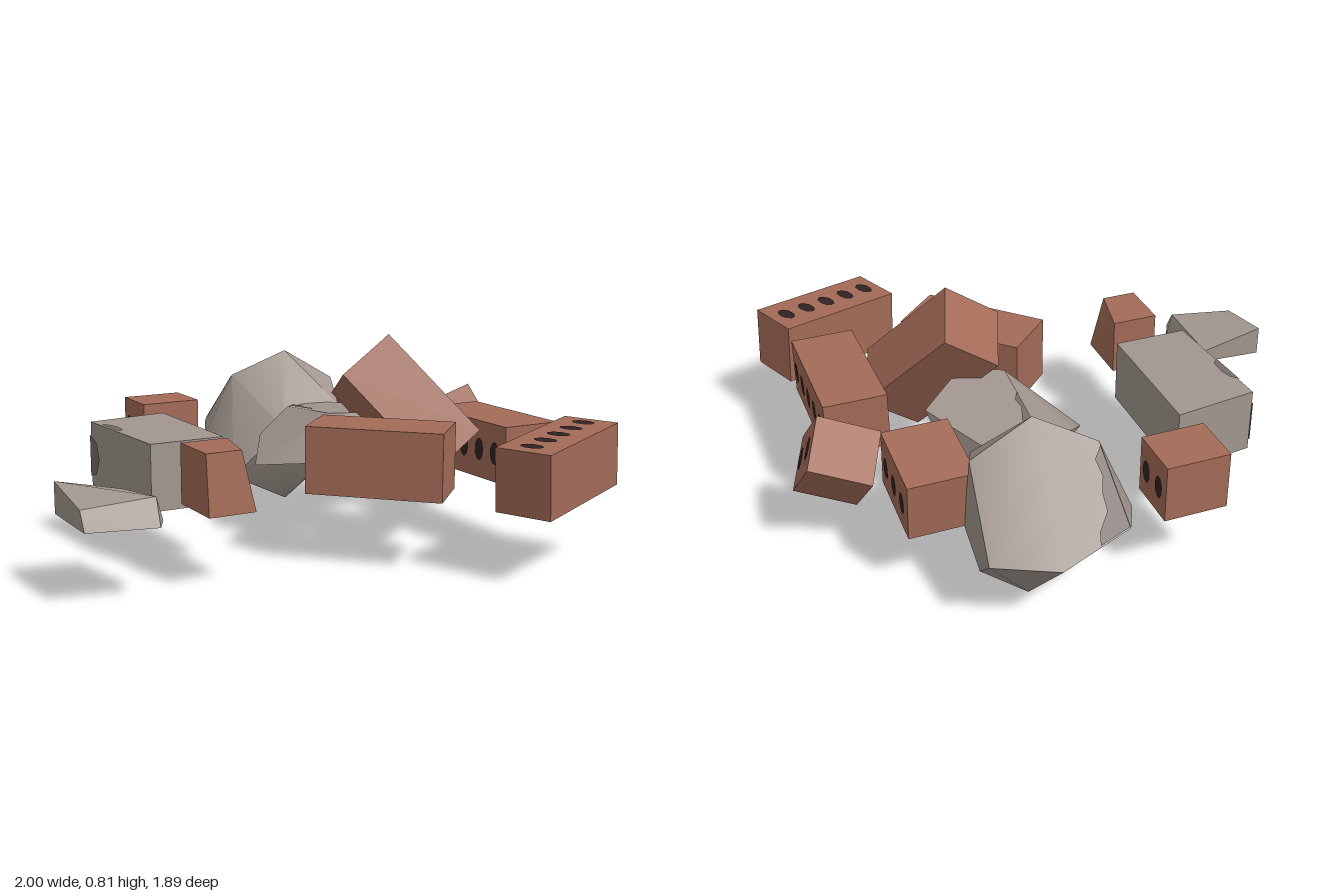
import * as THREE from 'three';
import { ConvexGeometry } from 'three/addons/geometries/ConvexGeometry.js';
import { toCreasedNormals } from 'three/addons/utils/BufferGeometryUtils.js';

const V = (p) => new THREE.Vector3(...p);

function material(name, color, side = THREE.FrontSide) {
  const m = new THREE.MeshStandardMaterial({ color, side });
  m.name = name;
  return m;
}

export function createModel() {
  const model = new THREE.Group();
  model.name = 'rubblePile';
  const brickRed = material('brickRed', 0xa36b57);
  const holeDark = material('holeDark', 0x302222);
  const stoneGrey = material('stoneGrey', 0xa2978f);
  const stainGrey = material('stainGrey', 0x776e69, THREE.DoubleSide);

  const holeShape = new THREE.CircleGeometry(0.5, 9);

  // Box brick: along = length direction, bore = direction of the holes,
  // size = [length, bore depth, width], holes painted on both bored faces
  function brick(name, centre, along, bore, size, holes = 0, spacing = 0.096) {
    const g = new THREE.Group();
    g.name = name;
    const ex = V(along).normalize();
    const ez = ex.clone().cross(V(bore)).normalize();
    const ey = ez.clone().cross(ex);
    g.setRotationFromMatrix(new THREE.Matrix4().makeBasis(ex, ey, ez));
    g.position.set(...centre);
    const body = new THREE.Mesh(new THREE.BoxGeometry(...size), brickRed);
    body.name = 'brickBody';
    g.add(body);
    for (const s of [-1, 1]) {
      for (let i = 0; i < holes; i++) {
        const hole = new THREE.Mesh(holeShape, holeDark);
        hole.name = 'brickHole';
        hole.scale.set(0.055, 0.09, 1);
        hole.rotation.x = -s * Math.PI / 2;
        hole.position.set((i - (holes - 1) / 2) * spacing, s * (size[1] / 2 + 0.003), 0);
        g.add(hole);
      }
    }
    model.add(g);
  }

  // Faceted chunk: convex hull of its corners, shallow edges smoothed
  function chunk(name, mat, corners) {
    const hull = toCreasedNormals(new ConvexGeometry(corners.map(V)), 0.55);
    const mesh = new THREE.Mesh(hull, mat);
    mesh.name = name;
    model.add(mesh);
  }

  // Stain: flat blotch on the plane o, a, b, drawn in (o->a, o->b) fractions
  function stain(o, a, b, outline) {
    const O = V(o), A = V(a).sub(O), B = V(b).sub(O);
    const lift = A.clone().cross(B).normalize().multiplyScalar(0.005);
    const pts = outline.map(([s, t]) =>
      O.clone().addScaledVector(A, s).addScaledVector(B, t).add(lift));
    const tris = THREE.ShapeUtils.triangulateShape(outline.map((p) => new THREE.Vector2(...p)), []);
    const geo = new THREE.BufferGeometry().setFromPoints(pts);
    geo.setIndex(tris.flat());
    geo.computeVertexNormals();
    const mesh = new THREE.Mesh(geo, stainGrey);
    mesh.name = 'stoneStain';
    model.add(mesh);
  }

  // Whole bricks
  brick('sideBrick', [0.72, 0.38, 0.245], [0, 0, 1], [1, 0, 0], [0.51, 0.24, 0.22], 5);
  brick('frontBrick', [0.65, 0.385, 0.74], [0.48, 0.035, -0.2], [0, 1, 0], [0.515, 0.235, 0.215], 5);
  brick('plainBrick', [0.15, 0.395, 0.347], [1, 0, 1.03], [0, 1, 0], [0.505, 0.25, 0.24]);
  brick('leaningBrick', [0.383, 0.515, 0.145], [-0.49, 0.7, -0.52], [0.2, 0.14, 0], [0.5, 0.245, 0.245]);

  // Broken bricks
  brick('backBrokenBrick', [0.57, 0.37, -0.395], [0, 0.09, 1], [1, 0, 0], [0.315, 0.245, 0.225], 3);
  brick('tippedBrokenBrick', [0.838, 0.363, -0.172], [-0.035, 0.16, -0.127], [0.23, 0.085, 0.06],
    [0.21, 0.235, 0.21], 2, 0.1);
  brick('farBrokenBrick', [-0.265, 0.38, -0.7], [0, 0, 1], [1, 0, 0], [0.205, 0.24, 0.22], 2);
  chunk('chippedBrick', brickRed, [
    [-0.565, 0.27, 0.165], [-0.385, 0.27, 0.165], [-0.385, 0.27, 0.395], [-0.565, 0.27, 0.395],
    [-0.565, 0.49, 0.165], [-0.385, 0.49, 0.165], [-0.43, 0.49, 0.375], [-0.565, 0.49, 0.375],
  ]);

  // Large boulder
  chunk('largeStone', stoneGrey, [
    [0.26, 0.67, -0.59], [0.48, 0.54, -0.58], [0.05, 0.57, -0.67], [0.02, 0.345, -0.88],
    [0.29, 0.29, -0.947], [0.51, 0.3, -0.85], [-0.06, 0.3, -0.72], [-0.05, 0.18, -0.465],
    [0.14, 0.38, -0.375], [0.42, 0.45, -0.41], [0.49, 0.24, -0.53], [0.48, 0.13, -0.66],
    [0.31, 0, -0.68],
  ]);
  stain([0.02, 0.345, -0.88], [0.05, 0.57, -0.67], [0.29, 0.29, -0.947],
    [[0.02, 0.01], [0.95, 0.01], [0.85, 0.14], [0.65, 0.12], [0.5, 0.2], [0.3, 0.22], [0.15, 0.4], [0.02, 0.45]]);

  // Middle boulder
  chunk('middleStone', stoneGrey, [
    [0.16, 0.47, -0.38], [0.15, 0.5, -0.02], [0.35, 0.46, -0.465], [0.5, 0.483, -0.15],
    [0.3, 0.503, 0.05], [-0.095, 0.29, -0.18], [0, 0.38, -0.32], [0.06, 0.33, 0.07],
    [0.17, 0.33, 0.07], [0.42, 0.3, -0.08], [0.44, 0.3, -0.33], [0.12, 0.27, -0.36],
  ]);
  stain([0.16, 0.47, -0.38], [0.15, 0.5, -0.02], [0.35, 0.46, -0.465],
    [[0.02, 0.01], [0.6, 0.01], [0.5, 0.12], [0.35, 0.08], [0.2, 0.2], [0.03, 0.15]]);

  // Squared stone block
  const plan = [[-0.665, -0.455], [-0.345, -0.495], [-0.345, 0.05], [-0.63, 0.05]];
  chunk('stoneBlock', stoneGrey, [0.22, 0.47].flatMap((y) => plan.map(([x, z]) => [x, y, z])));
  stain([-0.665, 0.47, -0.455], [-0.63, 0.47, 0.05], [-0.345, 0.47, -0.495],
    [[0.18, 0], [0.5, 0], [0.46, 0.08], [0.34, 0.1], [0.24, 0.07]]);
  stain([-0.665, 0.22, -0.455], [-0.63, 0.22, 0.05], [-0.665, 0.47, -0.455],
    [[0, 0.15], [0.1, 0.2], [0.16, 0.45], [0.12, 0.7], [0, 0.8]]);

  // Small shard
  chunk('stoneShard', stoneGrey, [
    [-1, 0.385, 0.08], [-1, 0.27, 0.08], [-0.755, 0.33, 0.08], [-0.76, 0.28, 0.08],
    [-0.74, 0.36, 0.355], [-0.71, 0.27, 0.34], [-0.755, 0.27, 0.425], [-1, 0.34, 0.33],
    [-1, 0.27, 0.37],
  ]);
  stain([-1, 0.27, 0.08], [-0.76, 0.275, 0.08], [-1, 0.27, 0.365],
    [[0.15, 0.1], [0.42, 0.12], [0.45, 0.32], [0.2, 0.36]]);

  return model;
}
